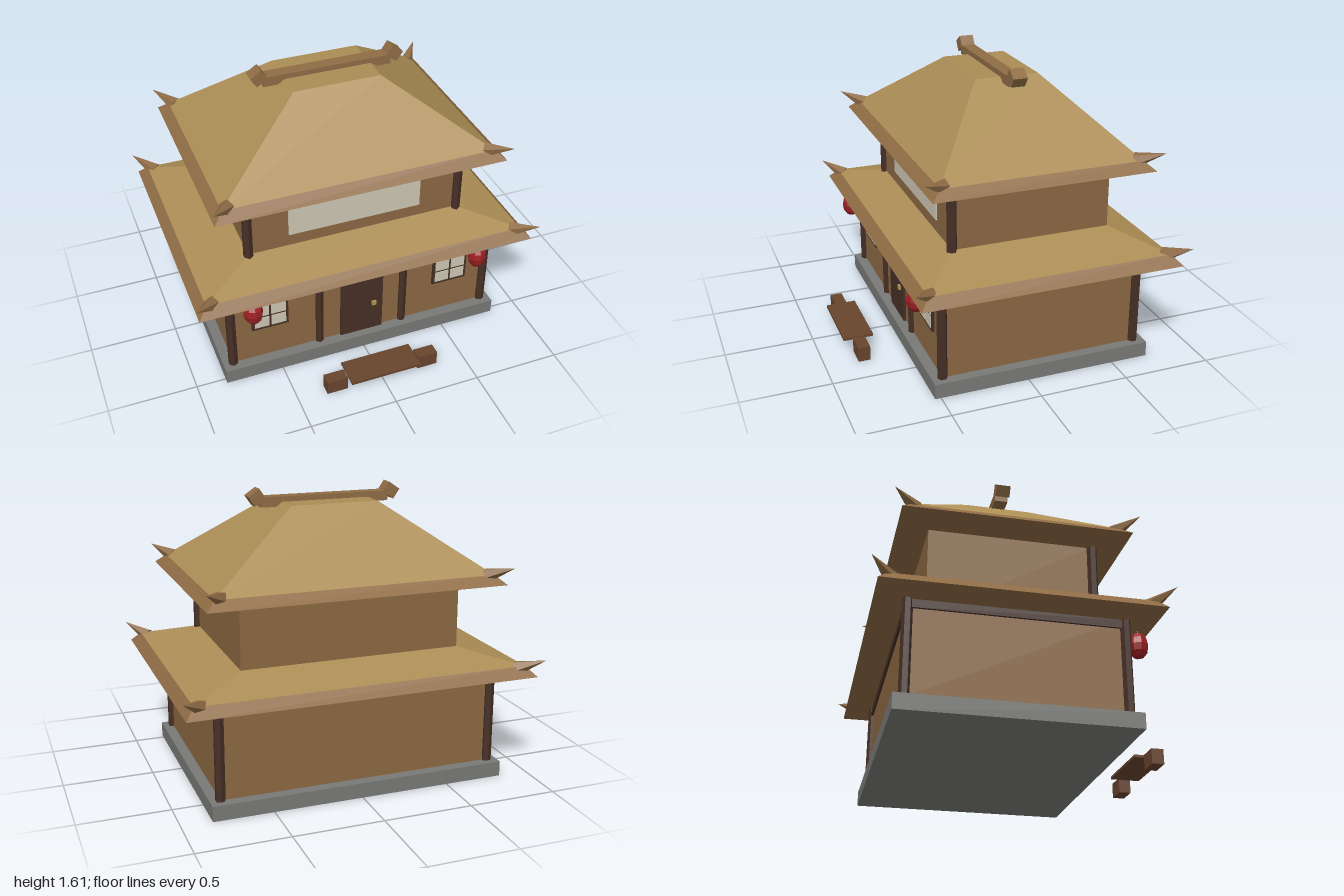
import * as THREE from 'three';

const CZ = -0.09; // the house sits behind the bench

export function createModel() {
  const model = new THREE.Group();
  model.name = 'pagodaHouse';

  const mat = (name, color) => {
    const m = new THREE.MeshStandardMaterial({ color, flatShading: true });
    m.name = name;
    return m;
  };
  const stone = mat('stone', 0x787876);
  const wall = mat('wallWood', 0x8b6842);
  const dark = mat('darkWood', 0x462f26);
  const thatch = mat('roofTan', 0xab8d55);
  const trim = mat('roofTrim', 0x8f6c45);
  const paper = mat('paper', 0xcdc6b2);
  const red = mat('lanternRed', 0x9c2024);
  const bench = mat('benchWood', 0x68452e);
  const brass = mat('brass', 0xb09550);

  const add = (name, geo, m, x = 0, y = 0, z = 0) => {
    const mesh = new THREE.Mesh(geo, m);
    mesh.name = name;
    mesh.position.set(x, y, z);
    model.add(mesh);
    return mesh;
  };
  const box = (name, m, w, h, d, x, y, z) =>
    add(name, new THREE.BoxGeometry(w, h, d), m, x, y, z);

  // Box tapering from half-size [x, z] at y0 to another at y1
  const frustum = (name, m, [bx, bz], [tx, tz], y0, y1) => {
    const geo = new THREE.BoxGeometry(2, y1 - y0, 2);
    const p = geo.attributes.position;
    for (let i = 0; i < p.count; i++) {
      const top = p.getY(i) > 0;
      p.setX(i, p.getX(i) * (top ? tx : bx));
      p.setZ(i, p.getZ(i) * (top ? tz : bz));
    }
    geo.computeVertexNormals();
    return add(name, geo, m, 0, (y0 + y1) / 2, CZ);
  };

  const post = (name, r, x, z, y0, y1) =>
    add(name, new THREE.CylinderGeometry(r, r, y1 - y0, 6), dark, x, (y0 + y1) / 2, z);

  // Pointed ornaments on the four corners of a roof
  const cornerSpikes = (name, base, tip) => {
    for (const sx of [-1, 1]) for (const sz of [-1, 1]) {
      const a = new THREE.Vector3(base[0] * sx, base[1], CZ + base[2] * sz);
      const b = new THREE.Vector3(tip[0] * sx, tip[1], CZ + tip[2] * sz);
      const dir = b.clone().sub(a);
      const spike = add(name, new THREE.ConeGeometry(0.042, dir.length(), 5), trim);
      spike.position.copy(a.add(b).multiplyScalar(0.5));
      spike.quaternion.setFromUnitVectors(new THREE.Vector3(0, 1, 0), dir.normalize());
    }
  };

  // Foundation and both storeys
  box('foundation', stone, 1.665, 0.085, 1.245, 0, 0.0425, CZ);
  box('lowerWalls', wall, 1.55, 0.53, 1.125, 0, 0.35, CZ);
  box('upperWalls', wall, 1.24, 0.51, 0.9, 0, 0.86, CZ);

  // Posts and beams
  const front = CZ + 0.5625;
  for (const s of [-1, 1]) {
    post('cornerPost', 0.028, 0.775 * s, front, 0.085, 0.61);
    post('cornerPost', 0.028, 0.775 * s, CZ - 0.5625, 0.085, 0.61);
    post('frontPost', 0.025, 0.256 * s, front, 0.085, 0.61);
    post('upperPost', 0.028, 0.62 * s, CZ + 0.45, 0.72, 1.115);
    box('beam', dark, 1.55, 0.045, 0.025, 0, 0.58, CZ + 0.5625 * s);
    box('sideBeam', dark, 0.025, 0.045, 1.125, 0.775 * s, 0.58, CZ);
  }

  // Roofs: a trim band under a sloping hip
  frustum('lowerEave', trim, [0.977, 0.732], [0.925, 0.68], 0.605, 0.66);
  frustum('lowerRoof', thatch, [0.925, 0.68], [0.615, 0.448], 0.66, 0.74);
  frustum('upperEave', trim, [0.83, 0.617], [0.775, 0.562], 1.107, 1.156);
  frustum('upperRoof', thatch, [0.775, 0.562], [0.25, 0.182], 1.156, 1.53);
  cornerSpikes('lowerRoofSpike', [0.885, 0.645, 0.655], [1.0, 0.71, 0.77]);
  cornerSpikes('upperRoofSpike', [0.74, 1.152, 0.535], [0.842, 1.207, 0.66]);

  // Ridge beam with tilted ends
  box('ridge', trim, 0.74, 0.055, 0.075, 0, 1.532, CZ);
  for (const s of [-1, 1]) {
    box('ridgeEnd', trim, 0.075, 0.065, 0.08, 0.393 * s, 1.56, CZ).rotation.z = -0.6 * s;
  }

  // Door and upper panel
  box('door', dark, 0.256, 0.4, 0.02, 0, 0.285, front + 0.005);
  box('doorKnob', brass, 0.027, 0.027, 0.015, 0.073, 0.28, front + 0.02);
  box('upperPanel', paper, 0.776, 0.17, 0.009, 0, 0.898, CZ + 0.454);

  // Windows and lanterns
  for (const s of [-1, 1]) {
    box('windowFrame', dark, 0.213, 0.182, 0.02, 0.55 * s, 0.387, front + 0.004);
    for (const i of [-1, 1]) for (const j of [-1, 1]) {
      box('windowPane', paper, 0.085, 0.068, 0.006,
        0.55 * s + 0.049 * i, 0.387 + 0.04 * j, front + 0.015);
    }
    add('lantern', new THREE.SphereGeometry(0.055, 8, 6), red, 0.67 * s, 0.52, 0.577).scale.y = 1.33;
    add('lanternCord', new THREE.CylinderGeometry(0.005, 0.005, 0.05, 5), dark, 0.67 * s, 0.605, 0.577);
  }

  // Bench in front of the door
  box('benchTop', bench, 0.415, 0.015, 0.17, 0, 0.08, 0.779);
  for (const s of [-1, 1]) box('benchBlock', bench, 0.12, 0.085, 0.068, 0.274 * s, 0.0425, 0.779);

  return model;
}
